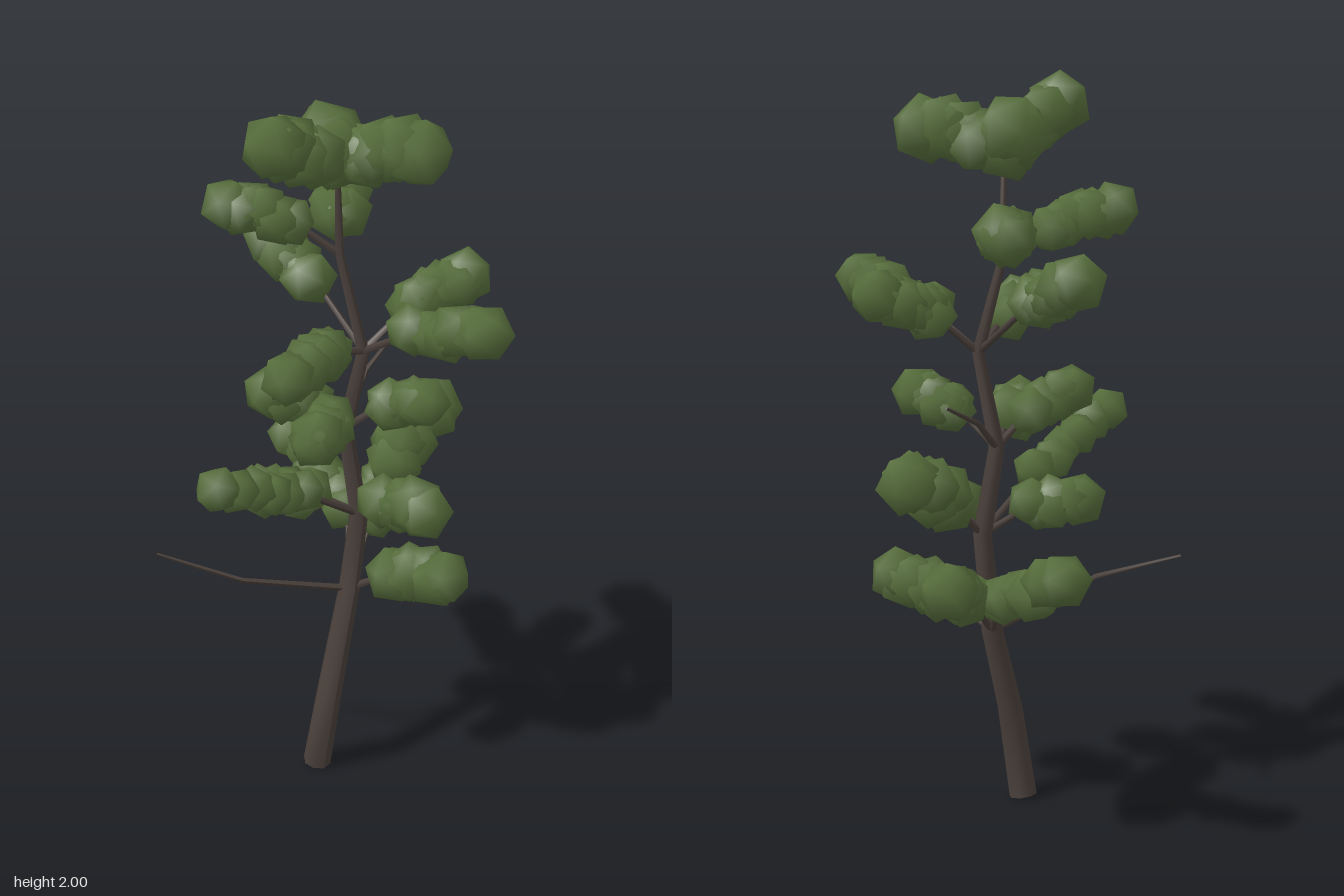
import * as THREE from 'three';

const V = (p) => new THREE.Vector3(...p);

// Small seeded generator for the leaf clumps
let seed = 7;
const rand = () => {
  seed = (seed * 16807) % 2147483647;
  return seed / 2147483647;
};

// Tapered limb: rows of a cylinder are moved onto the path, square to its direction
function limb(points, radii, sides) {
  const n = points.length;
  const geo = new THREE.CylinderGeometry(1, 1, 1, sides, n - 1);
  const up = new THREE.Vector3(0, 1, 0);
  const turns = points.map((p, i) => {
    const dir = points[Math.min(i + 1, n - 1)].clone().sub(points[Math.max(i - 1, 0)]).normalize();
    return new THREE.Quaternion().setFromUnitVectors(up, dir);
  });
  const pos = geo.attributes.position;
  const v = new THREE.Vector3();
  for (let k = 0; k < pos.count; k++) {
    const i = Math.round((pos.getY(k) + 0.5) * (n - 1));
    v.set(pos.getX(k) * radii[i], 0, pos.getZ(k) * radii[i]).applyQuaternion(turns[i]).add(points[i]);
    pos.setXYZ(k, v.x, v.y, v.z);
  }
  geo.computeVertexNormals();
  return geo;
}

// Icosahedron with rounded shading
function clumpGeometry() {
  const geo = new THREE.IcosahedronGeometry(1, 0);
  geo.setAttribute('normal', geo.attributes.position.clone());
  return geo;
}

export function createModel() {
  const bark = new THREE.MeshStandardMaterial({ color: 0x4a403b });
  bark.name = 'bark';
  const leaf = new THREE.MeshStandardMaterial({ color: 0x566d3b });
  leaf.name = 'leaf green';

  const tree = new THREE.Group();
  tree.name = 'tree';
  const add = (parent, geo, mat, name) => {
    const mesh = new THREE.Mesh(geo, mat);
    mesh.name = name;
    parent.add(mesh);
    return mesh;
  };

  // Crooked trunk
  const trunk = [
    [-0.033, 0.005, 0.045], [-0.016, 0.26, 0.086], [0.09, 0.52, 0.01], [0.092, 0.78, 0.055],
    [0.072, 1.03, 0.015], [0.09, 1.28, 0.075], [0.055, 1.54, 0.01], [0.025, 1.79, 0.05],
  ].map(V);
  add(tree, limb(trunk, [0.039, 0.035, 0.03, 0.026, 0.022, 0.017, 0.012, 0.007], 8), bark, 'trunk');

  // Leafy branch: bends upward where the leaves start, then runs flatter to its tip
  const clump = clumpGeometry();
  const count = 6;
  function leafyBranch(base, tip, size, start, sway = 0) {
    const group = new THREE.Group();
    group.name = 'leafyBranch';
    const bend = base.clone().lerp(tip, start).add(new THREE.Vector3(sway, 0.033, 0));
    add(group, limb([base, bend, tip], [0.011, 0.008, 0.005], 5), bark, 'branch');
    for (let i = 0; i < count; i++) {
      const t = i / (count - 1);
      const mesh = add(group, clump, leaf, 'leafClump');
      mesh.position.lerpVectors(bend, tip, t);
      if (t < 1) {
        mesh.position.x += (rand() - 0.5) * 0.025;
        mesh.position.y += (rand() - 0.5) * 0.025;
        mesh.position.z += (rand() - 0.5) * 0.025;
      }
      mesh.scale.setScalar(size * (0.92 + 0.04 * t + 0.1 * rand()));
      mesh.rotation.set(rand() * 6, rand() * 6, rand() * 6);
    }
    tree.add(group);
  }

  // Trunk node, tip, clump radius, where the leaves start, sideways bend
  const branches = [
    [2, [0.15, 0.785, -0.415], 0.075, 0.4, 0.07],
    [2, [0.365, 0.74, -0.21], 0.082, 0.5],
    [2, [0.24, 0.64, 0.255], 0.082, 0.48],
    [3, [0.38, 0.99, -0.04], 0.084, 0.45],
    [3, [-0.39, 1.04, 0.16], 0.064, 0.43],
    [3, [0.16, 0.875, 0.275], 0.083, 0.4],
    [3, [-0.15, 0.865, -0.05], 0.074, 0.48],
    [4, [0.2, 1.16, 0.205], 0.07, 0.5],
    [4, [-0.135, 1.17, -0.03], 0.07, 0.5],
    [4, [-0.09, 1.09, 0.14], 0.077, 0.55],
    [5, [-0.245, 1.37, 0.27], 0.076, 0.44],
    [5, [0.24, 1.44, 0.42], 0.074, 0.44],
    [5, [0.365, 1.455, 0.13], 0.076, 0.45],
    [5, [-0.01, 1.505, -0.235], 0.078, 0.57],
    [6, [-0.185, 1.67, -0.15], 0.072, 0.46],
    [6, [0.145, 1.625, -0.15], 0.083, 0.5],
    [7, [-0.185, 1.915, 0.1], 0.085, 0.28],
    [7, [0.17, 1.865, 0.2], 0.092, 0.3],
    [7, [0.01, 1.86, 0.02], 0.1, 0.2],
  ];
  branches.forEach(([node, tip, ...rest]) => leafyBranch(trunk[node], V(tip), ...rest));

  // Bare, kinked branches
  const bare = [
    [2, [-0.23, 0.625, -0.02], [-0.415, 0.69, -0.16]],
    [4, [0.19, 1.13, -0.08], [0.318, 1.2, -0.128]],
  ];
  bare.forEach(([node, kink, tip]) => {
    add(tree, limb([trunk[node], V(kink), V(tip)], [0.011, 0.008, 0.004], 5), bark, 'bareBranch');
  });

  return tree;
}
